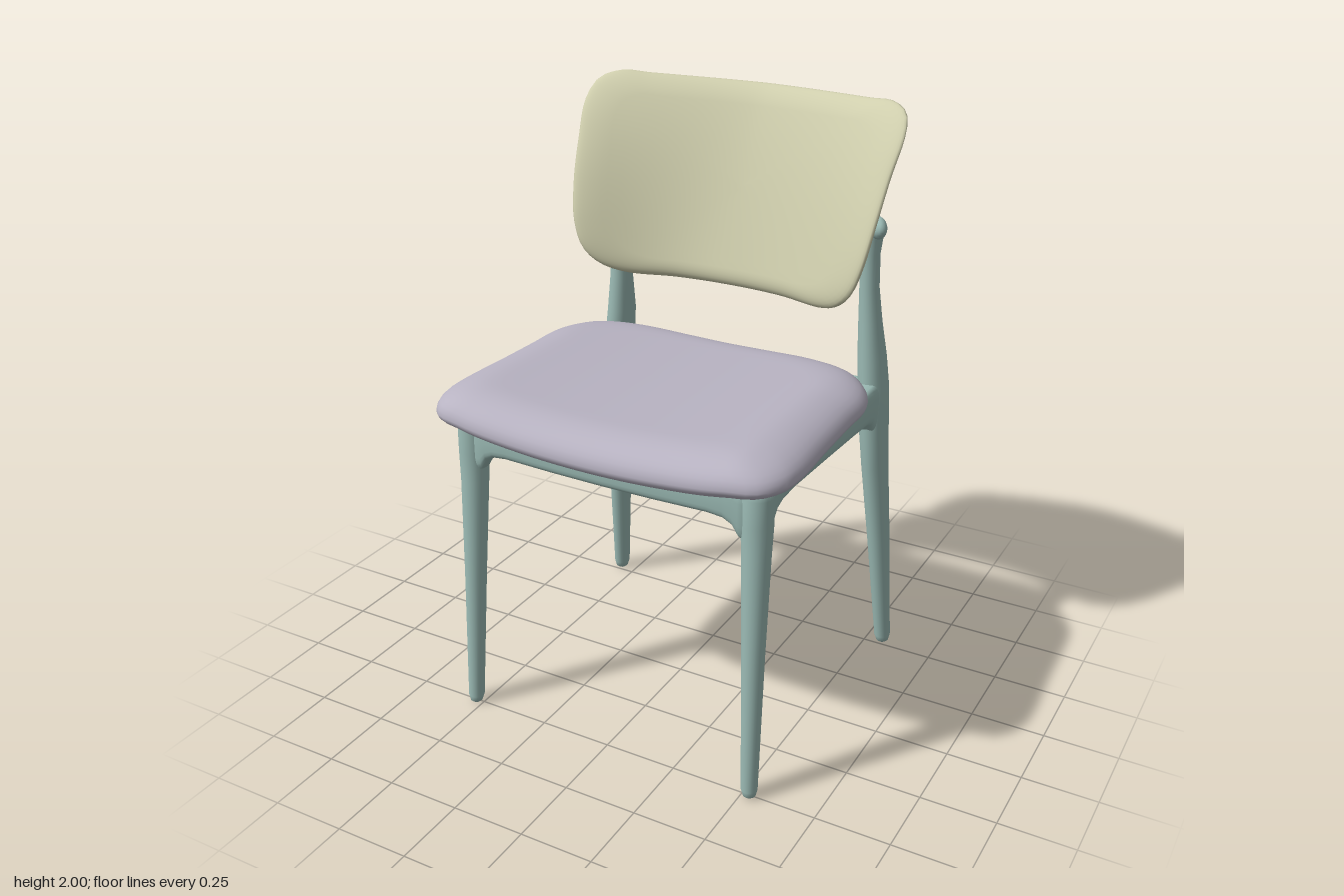
import * as THREE from 'three';

const frameMat = new THREE.MeshStandardMaterial({ color: 0x9bbab4, name: 'sage frame' });
const seatMat = new THREE.MeshStandardMaterial({ color: 0xb8b3c2, name: 'lilac seat' });
const backMat = new THREE.MeshStandardMaterial({ color: 0xcfcead, name: 'cream backrest' });
const lerp = THREE.MathUtils.lerp;

// Smooth closed skin over a row of rings (arrays of Vector3), capped at both ends
function skin(rings) {
  const n = rings[0].length, m = rings.length, pos = [], idx = [];
  rings.forEach(r => r.forEach(p => pos.push(p.x, p.y, p.z)));
  for (let i = 0; i < m - 1; i++) for (let j = 0; j < n; j++) {
    const a = i * n + j, b = i * n + (j + 1) % n;
    idx.push(a, b, b + n, a, b + n, a + n);
  }
  [rings[0], rings[m - 1]].forEach((r, e) => {
    const c = r.reduce((s, p) => s.add(p), new THREE.Vector3()).divideScalar(n);
    pos.push(c.x, c.y, c.z);
    for (let j = 0; j < n; j++) {
      const a = e * (m - 1) * n + j, b = e * (m - 1) * n + (j + 1) % n;
      if (e) idx.push(m * n + 1, a, b); else idx.push(m * n, b, a);
    }
  });
  const g = new THREE.BufferGeometry();
  g.setAttribute('position', new THREE.Float32BufferAttribute(pos, 3));
  g.setIndex(idx);
  g.computeVertexNormals();
  return g;
}

// Rounded bar along an axis; each section is [x, y, z, radius, radius], power 2 = ellipse
function bar(axis, sections, power = 2) {
  const U = { x: [0, 1, 0], y: [0, 0, 1], z: [1, 0, 0] }[axis];
  const V = { x: [0, 0, 1], y: [1, 0, 0], z: [0, 1, 0] }[axis];
  const u = new THREE.Vector3(...U), v = new THREE.Vector3(...V), N = 24;
  const pw = c => Math.sign(c) * Math.abs(c) ** (2 / power);
  return skin(sections.map(([x, y, z, ru, rv]) => Array.from({ length: N }, (_, k) => {
    const a = k / N * Math.PI * 2;
    return new THREE.Vector3(x, y, z).addScaledVector(u, ru * pw(Math.cos(a))).addScaledVector(v, rv * pw(Math.sin(a)));
  })));
}

// Cushion: half outline mirrored, scaled in rings about (0, cy), then bent by map(p, q, h)
function cushion(half, cy, low, high, map) {
  const full = [...half, ...half.slice(1, -1).reverse().map(([x, y]) => [-x, y])];
  const curve = new THREE.CatmullRomCurve3(full.map(([x, y]) => new THREE.Vector3(x, y, 0)), true, 'centripetal');
  const pts = curve.getSpacedPoints(120).slice(0, -1);
  const side = ({ inset, height }, sign) => {
    const out = [];
    for (let k = 0; k < 10; k++) out.push([lerp(0.04, 1 - inset, k / 10), sign * height]);
    for (let k = 0; k <= 9; k++) {
      const a = k / 9 * Math.PI / 2;
      out.push([1 - inset + inset * Math.sin(a), sign * height * Math.cos(a)]);
    }
    return out;
  };
  const profile = [...side(low, -1), ...side(high, 1).reverse().slice(1)];
  return skin(profile.map(([s, h]) => pts.map(p => map(p.x * s, cy + (p.y - cy) * s, h))));
}

export function createModel() {
  const model = new THREE.Group();
  model.name = 'chair';
  const add = (name, geo, mat) => {
    const mesh = new THREE.Mesh(geo, mat);
    mesh.name = name;
    model.add(mesh);
  };

  for (const s of [1, -1]) {
    const label = s > 0 ? 'left' : 'right';
    // Tapered front leg
    add(label + 'FrontLeg', bar('y', [
      [0.527, 0, 0.505, 0.012, 0.012], [0.527, 0.008, 0.505, 0.021, 0.021], [0.526, 0.03, 0.504, 0.027, 0.027],
      [0.516, 0.5, 0.477, 0.037, 0.036], [0.509, 0.85, 0.457, 0.045, 0.046], [0.508, 0.95, 0.453, 0.049, 0.05],
      [0.507, 1.04, 0.452, 0.05, 0.05], [0.505, 1.08, 0.45, 0.045, 0.045],
    ].map(([x, ...r]) => [s * x, ...r])), frameMat);

    // Back leg rising into the post that carries the top rail
    add(label + 'BackLeg', bar('y', [
      [0.56, 0, -0.527, 0.014, 0.013], [0.56, 0.008, -0.527, 0.025, 0.022], [0.559, 0.03, -0.526, 0.032, 0.028],
      [0.535, 0.45, -0.487, 0.048, 0.038], [0.516, 0.75, -0.457, 0.061, 0.044], [0.506, 0.93, -0.444, 0.067, 0.049],
      [0.498, 1.05, -0.444, 0.067, 0.05], [0.489, 1.15, -0.442, 0.061, 0.047], [0.48, 1.28, -0.43, 0.045, 0.039],
      [0.474, 1.4, -0.42, 0.035, 0.033], [0.474, 1.52, -0.414, 0.034, 0.032], [0.475, 1.58, -0.413, 0.042, 0.038],
      [0.475, 1.62, -0.413, 0.042, 0.038],
    ].map(([x, ...r]) => [s * x, ...r])), frameMat);

    // Side rail, flared where it meets the legs: [z, underside height, x]
    add(label + 'SideRail', bar('z', [
      [-0.43, 0.87, 0.503], [-0.385, 0.9, 0.503], [-0.365, 0.93, 0.503], [-0.33, 0.943, 0.503], [-0.2, 0.953, 0.504],
      [0, 0.966, 0.505], [0.25, 0.98, 0.506], [0.34, 0.978, 0.507], [0.385, 0.96, 0.507], [0.405, 0.93, 0.507], [0.44, 0.87, 0.507],
    ].map(([z, b, x]) => [s * x, (1.072 + b) / 2, z, 0.036, (1.072 - b) / 2]), 3.5), frameMat);
  }

  // Front and back rails: [x, extra drop at the flare]
  const spans = [[0.5, 0.08], [0.46, 0.06], [0.44, 0.025], [0.41, 0.007], [0.36, 0], [0.18, 0]];
  const full = [...spans.map(([x, d]) => [-x, d]), [0, 0], ...[...spans].reverse()];
  const crossRail = (under, top, z, bow) => bar('x', full.map(([x, d]) => {
    const b = under - d;
    return [x, (top + b) / 2, z + bow * (1 - (x / 0.5) ** 2), (top - b) / 2, 0.035];
  }), 3.5);
  add('frontRail', crossRail(0.96, 1.062, 0.455, 0.02), frameMat);
  add('backRail', crossRail(0.94, 1.062, -0.442, 0), frameMat);

  // Bowed top rail with rounded ends
  const bow = [];
  for (let k = 0; k <= 40; k++) {
    const x = 0.535 * Math.sin((k / 40 - 0.5) * Math.PI), e = Math.abs(x) / 0.535;
    const round = Math.sqrt(Math.max(0.02, 1 - Math.max(0, (e - 0.93) / 0.07) ** 2));
    const flare = 1 + 0.12 * THREE.MathUtils.smoothstep(e, 0.7, 0.93);
    bow.push([x, 1.61, -0.39 - 0.138 * (1 - (x / 0.52) ** 2), 0.033 * round * flare, 0.034 * round * flare]);
  }
  add('topRail', bar('x', bow), frameMat);

  // Seat pad, slightly dished across its width
  add('seat', cushion([
    [0, -0.61], [0.25, -0.605], [0.45, -0.59], [0.56, -0.56], [0.608, -0.49], [0.62, -0.4], [0.61, -0.2], [0.602, 0],
    [0.598, 0.13], [0.565, 0.22], [0.48, 0.31], [0.35, 0.36], [0.15, 0.375], [0, 0.375],
  ], -0.12, { inset: 0.12, height: 0.04 }, { inset: 0.3, height: 0.085 }, (p, q, h) => {
    const dish = 0.024 * (1 - Math.min(1, Math.abs(p) / 0.48) ** 2);
    return new THREE.Vector3(p, 1.105 - dish + h, -q);
  }), seatMat);

  // Backrest shell, leaning back and wrapping forward at the sides
  add('backrest', cushion([
    [0, 1.345], [0.2, 1.347], [0.36, 1.355], [0.44, 1.385], [0.495, 1.44], [0.53, 1.53], [0.55, 1.65], [0.566, 1.8],
    [0.578, 1.92], [0.56, 1.975], [0.5, 2.0], [0.4, 1.995], [0.2, 1.988], [0, 1.985],
  ], 1.67, { inset: 0.2, height: 0.055 }, { inset: 0.2, height: 0.045 }, (x, y, h) => {
    const t = (y - 1.345) / 0.65;
    const wrap = (0.25 - 0.095 * t * t) * (Math.abs(x) / 0.57) ** lerp(2.4, 1.6, t);
    return new THREE.Vector3(x, y, -0.36 - 0.2 * t - 0.04 * Math.abs(t) ** 4 + wrap + h * lerp(1.05, 0.7, t));
  }), backMat);

  return model;
}
